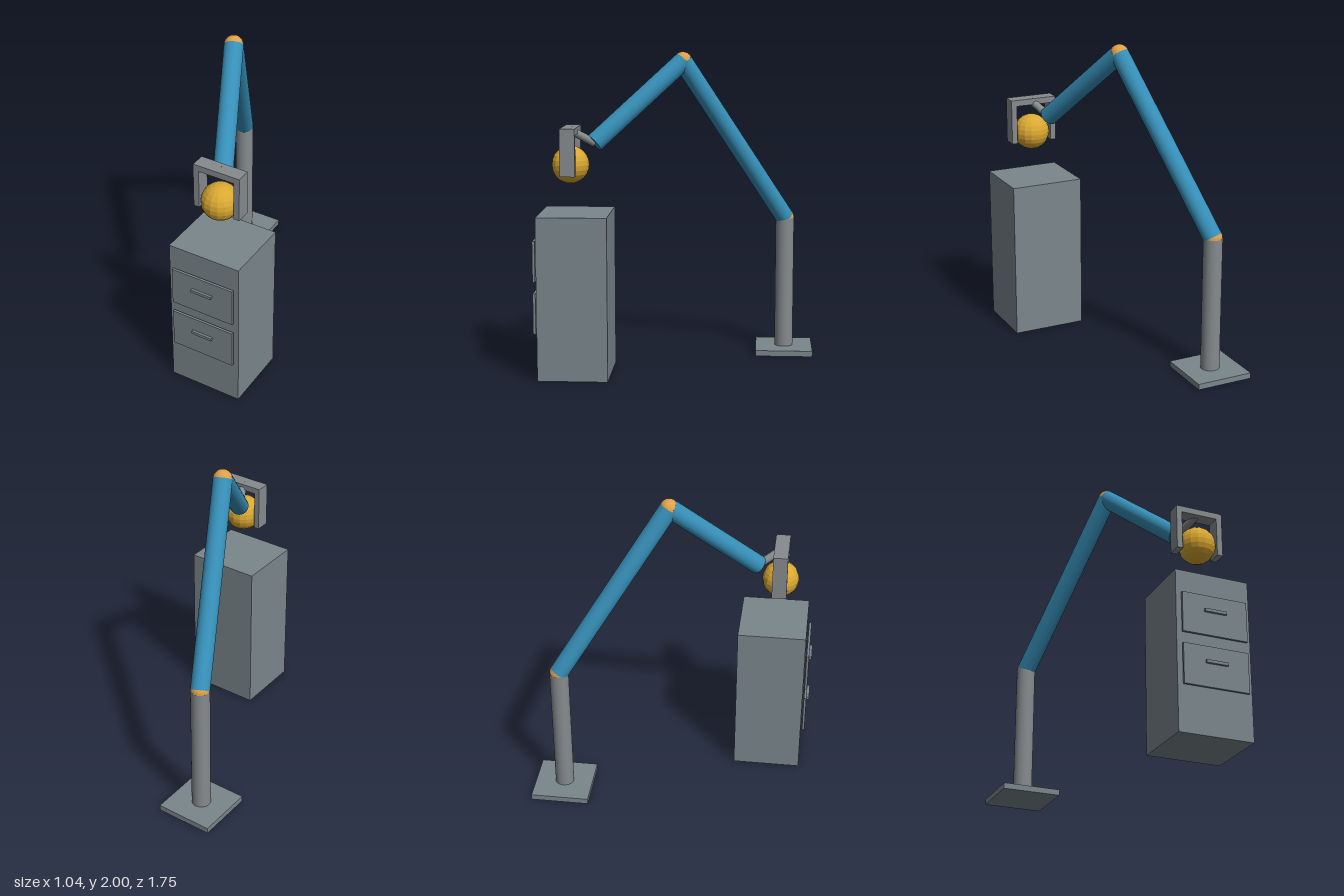
import * as THREE from 'three';

export function createModel() {
  const model = new THREE.Group();
  model.name = 'robotArmAndCabinet';

  const material = (name, color, flatShading = false) => {
    const m = new THREE.MeshStandardMaterial({ color, flatShading });
    m.name = name;
    return m;
  };
  const slate = material('slateGrey', 0x7a868c);
  const steel = material('steelGrey', 0x868b8e);
  const blue = material('armBlue', 0x368fb8);
  const orange = material('jointOrange', 0xe0a04a, true);
  const gold = material('ballGold', 0xdaa832, true);

  const add = (name, geometry, mat, parent = model) => {
    const mesh = new THREE.Mesh(geometry, mat);
    mesh.name = name;
    parent.add(mesh);
    return mesh;
  };

  // Box given by its extents along each axis
  const box = (name, [x0, x1], [y0, y1], [z0, z1], mat, parent) => {
    const mesh = add(name, new THREE.BoxGeometry(x1 - x0, y1 - y0, z1 - z0), mat, parent);
    mesh.position.set((x0 + x1) / 2, (y0 + y1) / 2, (z0 + z1) / 2);
    return mesh;
  };

  // Cylinder running from point a to point b
  const rod = (name, a, b, radius, mat) => {
    const dir = b.clone().sub(a);
    const mesh = add(name, new THREE.CylinderGeometry(radius, radius, dir.length(), 32), mat);
    mesh.position.copy(a).add(b).multiplyScalar(0.5);
    mesh.quaternion.setFromUnitVectors(new THREE.Vector3(0, 1, 0), dir.normalize());
    return mesh;
  };

  const ball = (name, center, radius, mat) => {
    const mesh = add(name, new THREE.SphereGeometry(radius, 16, 12), mat);
    mesh.position.copy(center);
    return mesh;
  };

  // Arm joints, from the floor to the gripper
  const foot = new THREE.Vector3(-0.34, 0.03, -0.69);
  const shoulder = new THREE.Vector3(-0.34, 0.9, -0.69);
  const elbow = new THREE.Vector3(-0.03, 1.94, -0.03);
  const wrist = new THREE.Vector3(0.22, 1.445, 0.505);
  const hand = new THREE.Vector3(0.285, 1.53, 0.645);

  // Base and post
  box('basePlate', [-0.525, -0.155], [0, 0.037], [-0.877, -0.505], slate);
  rod('post', foot, shoulder, 0.06, steel);

  // Jointed arm
  ball('shoulderJoint', shoulder, 0.06, orange);
  rod('upperArm', shoulder, elbow, 0.06, blue);
  ball('elbowJoint', elbow, 0.06, orange);
  rod('forearm', elbow, wrist, 0.06, blue);
  rod('wristRod', wrist, hand, 0.025, steel);

  // Gripper: a crossbar with a finger at each end
  const gripper = new THREE.Group();
  gripper.name = 'gripper';
  model.add(gripper);
  box('gripperBar', [0.13, 0.44], [1.51, 1.55], [0.6, 0.693], steel, gripper);
  for (const [name, x] of [['rightFinger', 0.13], ['leftFinger', 0.403]]) {
    box(name, [x, x + 0.037], [1.258, 1.51], [0.6, 0.693], steel, gripper);
  }
  ball('heldBall', new THREE.Vector3(0.285, 1.318, 0.647), 0.117, gold);

  // Cabinet with two drawers, each with a handle
  const cabinet = new THREE.Group();
  cabinet.name = 'cabinet';
  model.add(cabinet);
  box('cabinetBody', [0.042, 0.52], [0, 1.02], [0.4, 0.835], slate, cabinet);
  for (const [name, y] of [['lowerDrawer', 0.416], ['upperDrawer', 0.742]]) {
    box(name, [0.072, 0.492], [y - 0.127, y + 0.127], [0.845, 0.861], slate, cabinet);
    box(name + 'Handle', [0.212, 0.352], [y + 0.018, y + 0.037], [0.861, 0.877], slate, cabinet);
  }

  return model;
}
